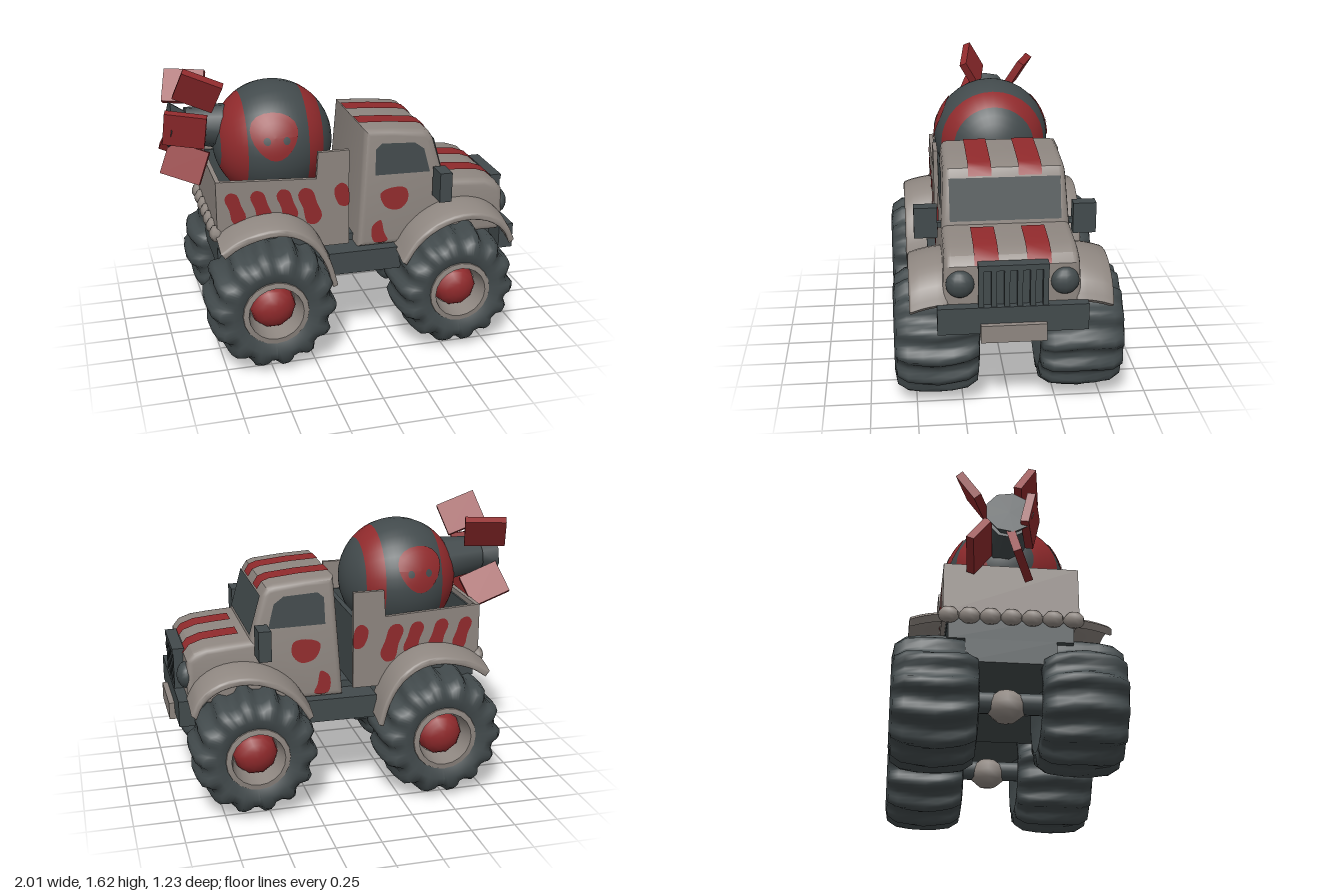
import * as THREE from 'three';
import { toCreasedNormals } from 'three/addons/utils/BufferGeometryUtils.js';

const mat = (name, color) => new THREE.MeshStandardMaterial({ name, color, side: THREE.DoubleSide });

export function createModel() {
  const root = new THREE.Group();
  root.name = 'bombTruck';
  const light = mat('warmGrey', 0x8e8680), dark = mat('darkSlate', 0x424a4c), red = mat('dullRed', 0x902a2c);

  const add = (name, geo, m, parent = root) => {
    const mesh = new THREE.Mesh(geo, m);
    mesh.name = name;
    parent.add(mesh);
    return mesh;
  };
  // Mirror a geometry across z and restore its winding
  const mirrorZ = (geo) => {
    const g = geo.index ? geo.toNonIndexed() : geo.clone();
    g.scale(1, 1, -1);
    for (const a of Object.values(g.attributes)) {
      const n = a.itemSize, s = a.array;
      for (let i = 0; i < s.length; i += 3 * n)
        for (let k = 0; k < n; k++) [s[i + k], s[i + 2 * n + k]] = [s[i + 2 * n + k], s[i + k]];
    }
    return g;
  };
  const pair = (name, geo, m) => { add(name, geo, m); add(name, mirrorZ(geo), m); };
  const box = (x0, x1, y0, y1, z0, z1) =>
    new THREE.BoxGeometry(x1 - x0, y1 - y0, z1 - z0).translate((x0 + x1) / 2, (y0 + y1) / 2, (z0 + z1) / 2);
  const shapeOf = (pts) => new THREE.Shape(pts.map(([x, y]) => new THREE.Vector2(x, y)));
  const smooth = (pts, n, closed) => new THREE.CatmullRomCurve3(
    pts.map(([x, y]) => new THREE.Vector3(x, y, 0)), closed).getPoints(n).map((p) => [p.x, p.y]);
  // Side profile extruded between two z values, with rounded edges
  const slab = (pts, z0, z1, bevel = 0, steps = 1) => new THREE.ExtrudeGeometry(shapeOf(pts), {
    depth: z1 - z0 - 2 * bevel, steps, bevelEnabled: bevel > 0, bevelSize: bevel, bevelThickness: bevel,
    bevelOffset: -bevel, bevelSegments: 3 }).translate(0, 0, z0 + bevel);
  // Body half-width narrows towards the roof
  const halfWidth = (y) => 0.365 - 0.06 * (y - 0.6);
  const bodyShell = (pts) => {
    const g = slab(pts, -1, 1, 0.035), p = g.attributes.position;
    for (let i = 0; i < p.count; i++) {
      const z = p.getZ(i), w = halfWidth(p.getY(i));
      p.setZ(i, Math.sign(z) * (w - (1 - Math.abs(z))));
    }
    return toCreasedNormals(g, 0.6);
  };
  // Painted patch lying on the tapered body side or on a flat side
  const patch = (name, pts, m, zOf, round = true) => {
    const g = new THREE.ShapeGeometry(shapeOf(round ? smooth(pts, 24, true) : pts)), p = g.attributes.position;
    for (let i = 0; i < p.count; i++) p.setZ(i, zOf(p.getY(i)) + 0.004);
    g.computeVertexNormals();
    pair(name, g, m);
  };
  // Painted strip following a side profile from left to right
  const ribbon = (name, pts, z0, z1, m) => {
    const pos = [], idx = [];
    pts.forEach(([x, y], i) => {
      const a = pts[Math.max(i - 1, 0)], b = pts[Math.min(i + 1, pts.length - 1)];
      const l = Math.hypot(b[0] - a[0], b[1] - a[1]);
      const px = x - (b[1] - a[1]) / l * 0.006, py = y + (b[0] - a[0]) / l * 0.006;
      pos.push(px, py, z0, px, py, z1);
      const k = 2 * i;
      if (i < pts.length - 1) idx.push(k, k + 1, k + 2, k + 1, k + 3, k + 2);
    });
    const g = new THREE.BufferGeometry();
    g.setAttribute('position', new THREE.Float32BufferAttribute(pos, 3));
    g.setIndex(idx);
    g.computeVertexNormals();
    add(name, g, m);
  };

  // Cab and hood
  const roof = [[0.085, 1.28], [0.25, 1.272], [0.42, 1.255], [0.46, 1.24], [0.485, 1.2]];
  const hoodTop = [[0.55, 0.955], [0.7, 0.945], [0.8, 0.935], [0.87, 0.91], [0.905, 0.865]];
  add('cab', bodyShell([[0.04, 0.6], [0.58, 0.6], [0.56, 0.94], ...[...roof].reverse()]), light);
  add('hood', bodyShell([[0.48, 0.62], [0.91, 0.62], ...[...hoodTop].reverse(), [0.48, 0.955]]), light);
  for (const z of [-0.2, 0.07]) {
    ribbon('roofStripe', roof, z, z + 0.125, red);
    ribbon('hoodStripe', [[0.6, 0.952], ...hoodTop.slice(1)], z, z + 0.125, red);
  }
  ribbon('windshield', [[0.487, 1.193], [0.549, 0.972]], -0.299, 0.299, dark);
  patch('sideWindow', [[0.14, 1.02], [0.145, 1.17], [0.18, 1.2], [0.37, 1.19], [0.425, 1.15], [0.46, 1.015]],
    dark, halfWidth, false);
  patch('doorSpot', [[0.17, 0.91], [0.23, 0.94], [0.32, 0.93], [0.33, 0.86], [0.28, 0.81], [0.2, 0.83]], red, halfWidth);
  patch('doorSpot', [[0.12, 0.72], [0.17, 0.755], [0.19, 0.68], [0.21, 0.63], [0.13, 0.63]], red, halfWidth);
  pair('mirror', box(0.47, 0.54, 0.88, 1.05, 0.365, 0.49), dark);
  pair('mirrorArm', box(0.49, 0.52, 0.93, 0.96, 0.32, 0.38), dark);

  // Grille, headlights and front bumper
  add('grilleBack', box(0.88, 0.925, 0.64, 0.88, -0.175, 0.175), dark);
  for (let i = 0; i < 6; i++) {
    const z = -0.165 + i * 0.066;
    add('grilleBar', box(0.92, 0.96, 0.64, 0.88, z - 0.014, z + 0.014), dark);
  }
  add('grilleTop', box(0.9, 0.965, 0.86, 0.89, -0.18, 0.18), dark);
  pair('headlight', new THREE.SphereGeometry(0.075, 14, 10).scale(0.75, 1, 1).translate(0.9, 0.77, 0.27), dark);
  add('frontBumper', box(0.88, 0.965, 0.515, 0.66, -0.39, 0.39), dark);
  add('bumperPlate', box(0.93, 0.995, 0.475, 0.57, -0.17, 0.17), light);

  // Chassis, running boards, axles and differentials
  add('chassis', box(-0.74, 0.9, 0.51, 0.64, -0.24, 0.24), dark);
  add('runningBoard', box(-0.14, 0.29, 0.47, 0.6, -0.405, 0.405), dark);
  for (const x of [-0.485, 0.575]) {
    add('axle', new THREE.CylinderGeometry(0.06, 0.06, 0.5, 10).rotateX(Math.PI / 2).translate(x, 0.39, 0), dark);
    add('differential', new THREE.SphereGeometry(0.1, 8, 6).scale(1, 0.92, 1.1).translate(x, 0.372, 0), light);
  }

  // Arched fenders, drooping towards the outer edge
  const fender = (name, outer, cx) => {
    const o = smooth(outer, 18, false);
    const inner = o.map(([x, y]) => [cx + (x - cx) * 0.92, 0.35 + (y - 0.35) * 0.92]).reverse();
    const g = slab([...inner, ...o], 0.33, 0.53, 0.012, 4), p = g.attributes.position;
    for (let i = 0; i < p.count; i++) p.setY(i, p.getY(i) + 0.012 - 0.04 * ((p.getZ(i) - 0.33) / 0.2) ** 2);
    pair(name, toCreasedNormals(g, 0.7), light);
  };
  fender('rearFender', [[-0.765, 0.75], [-0.67, 0.81], [-0.5, 0.855], [-0.36, 0.84], [-0.24, 0.76], [-0.16, 0.63], [-0.12, 0.49]], -0.47);
  fender('frontFender', [[0.25, 0.58], [0.33, 0.7], [0.45, 0.79], [0.6, 0.835], [0.76, 0.815], [0.87, 0.74], [0.915, 0.65]], 0.575);

  // Cargo bed with dark lining
  const side = [[-0.75, 1.07], [-0.75, 0.78], [-0.45, 0.78], [-0.3, 0.72], [-0.2, 0.635], [-0.015, 0.635],
    [-0.015, 1.19], [-0.19, 1.19], [-0.2, 1.04]];
  pair('bedSide', slab(side, 0.335, 0.36), light);
  pair('bedLining', box(-0.73, -0.02, 0.74, 1.02, 0.32, 0.336), dark);
  add('tailgate', box(-0.755, -0.73, 0.78, 1.07, -0.36, 0.36), light);
  add('tailgateLining', box(-0.732, -0.72, 0.78, 1.04, -0.335, 0.335), dark);
  add('bedFront', box(-0.05, -0.02, 0.64, 1.04, -0.34, 0.34), dark);
  add('bedFloor', box(-0.74, -0.02, 0.64, 0.8, -0.33, 0.33), dark);
  for (const [x, y, s] of [[-0.71, 1, 0.95], [-0.57, 1, 1], [-0.425, 0.995, 1], [-0.305, 0.99, 1.12]])
    patch('bedStripe', [[0, -0.03], [0.025, 0.003], [0.07, -0.01], [0.095, -0.08], [0.12, -0.15], [0.09, -0.19], [0.045, -0.18], [0.025, -0.1]]
      .map(([u, v]) => [x + u * s, y + v * s]), red, () => 0.36);
  patch('bedStripe', [[-0.1, 0.97], [-0.06, 1.005], [-0.025, 0.98], [-0.02, 0.87], [-0.07, 0.875]], red, () => 0.36);
  for (let i = 0; i < 7; i++)
    add('rearLump', new THREE.SphereGeometry(0.046, 7, 5).scale(0.85, 1, 1.3).translate(-0.758, 0.765, -0.33 + i * 0.11), light);

  // Wheels: lathed tyre with slanted lugs, dished rim and domed hub
  const lathe = (pts, n) => new THREE.LatheGeometry(pts.map(([r, y]) => new THREE.Vector2(r, y)), n);
  const tyre = lathe([[0.05, -0.15], [0.17, -0.18], [0.24, -0.225], [0.3, -0.215], [0.335, -0.16], [0.347, -0.08], [0.35, 0],
    [0.347, 0.08], [0.335, 0.16], [0.3, 0.215], [0.24, 0.228], [0.18, 0.2]], 112);
  const tp = tyre.attributes.position;
  for (let i = 0; i < tp.count; i++) {
    const x = tp.getX(i), y = tp.getY(i), z = tp.getZ(i), r = Math.hypot(x, z);
    if (r < 0.26) continue;
    const wave = Math.sin(14 * Math.atan2(z, x) + 5 * Math.abs(y));
    const k = 1 + 0.055 * Math.max(-0.8, Math.min(1, wave * 1.6));
    tp.setXYZ(i, x * k, y, z * k);
  }
  tyre.computeVertexNormals();
  tyre.rotateX(Math.PI / 2);
  const rim = toCreasedNormals(lathe([[0.19, 0.19], [0.185, 0.21], [0.155, 0.215], [0.13, 0.1], [0.001, 0.09]], 20), 0.6)
    .rotateX(Math.PI / 2);
  const hub = new THREE.SphereGeometry(0.13, 10, 5, 0, Math.PI * 2, 0, Math.PI / 2).scale(1, 0.75, 1)
    .rotateX(Math.PI / 2).translate(0, 0, 0.1);
  for (const [x, y, s, name] of [[-0.485, 0.373, 0.985, 'rearWheel'], [0.573, 0.368, 0.95, 'frontWheel']])
    for (const dir of [1, -1]) {
      const w = new THREE.Group();
      w.name = name;
      w.position.set(x, y, dir * 0.386);
      w.rotation.y = dir > 0 ? 0 : Math.PI;
      w.scale.set(s, s, 1);
      add('tyre', tyre, dark, w);
      add('rim', rim, light, w);
      add('hub', hub, red, w);
      root.add(w);
    }

  // Bomb: ball made of coloured zones along x
  const bomb = new THREE.Group(), R = 0.338;
  bomb.name = 'bomb';
  bomb.position.set(-0.37, 1.172, 0);
  root.add(bomb);
  const cuts = [-1, -0.92, -0.55, 0.44, 0.72, 1].map((c) => Math.acos(c));
  for (let i = 0; i < 5; i++)
    add(i % 2 ? 'bombBand' : 'bombShell', new THREE.SphereGeometry(R, 32, i === 2 ? 12 : 5, 0, Math.PI * 2,
      cuts[i + 1], cuts[i] - cuts[i + 1]).rotateZ(-Math.PI / 2), i % 2 ? red : dark, bomb);
  // Face spots wrapped over both sides of the ball
  const spot = (name, cx, cy, rx, ry, lift, m, chin) => {
    const g = new THREE.RingGeometry(0.001, 1, 20, 5), p = g.attributes.position;
    for (let i = 0; i < p.count; i++) {
      const v = p.getY(i), x = cx + p.getX(i) * rx * (1 + chin * v), y = cy + v * ry, r = R + lift;
      p.setXYZ(i, x, y, Math.sqrt(r * r - x * x - y * y));
    }
    g.computeVertexNormals();
    add(name, g, m, bomb);
    add(name, mirrorZ(g), m, bomb);
  };
  spot('faceSpot', -0.045, 0.105, 0.125, 0.125, 0.005, red, 0.25);
  for (const x of [-0.09, 0.015]) spot('faceEye', x, 0.09, 0.019, 0.021, 0.009, dark, 0);

  // Bomb tail with five paddle fins: position, then roll, yaw and pitch
  add('bombTail', new THREE.CylinderGeometry(0.1, 0.13, 0.22, 9).rotateZ(Math.PI / 2 - 0.1).translate(-0.75, 1.27, -0.03), dark);
  add('bombTailEnd', new THREE.CylinderGeometry(0.13, 0.08, 0.09, 9).rotateZ(Math.PI / 2 - 0.1).translate(-0.9, 1.285, -0.03), dark);
  for (const [x, y, z, roll, yaw, pitch] of [[-0.79, 1.5, 0.08, 0.42, -0.32, -0.28], [-0.83, 1.45, -0.21, -0.6, -0.28, -0.2],
    [-0.87, 1.29, 0.09, 0.2, -0.25, -0.08], [-0.87, 1.08, 0.03, -0.3, -0.3, -0.38], [-0.85, 1.13, -0.18, 0.5, -0.28, -0.3]]) {
    const fin = add('tailFin', new THREE.BoxGeometry(0.23, 0.19, 0.045), red);
    fin.position.set(x, y, z);
    fin.rotation.set(roll, yaw, pitch);
  }
  return root;
}
